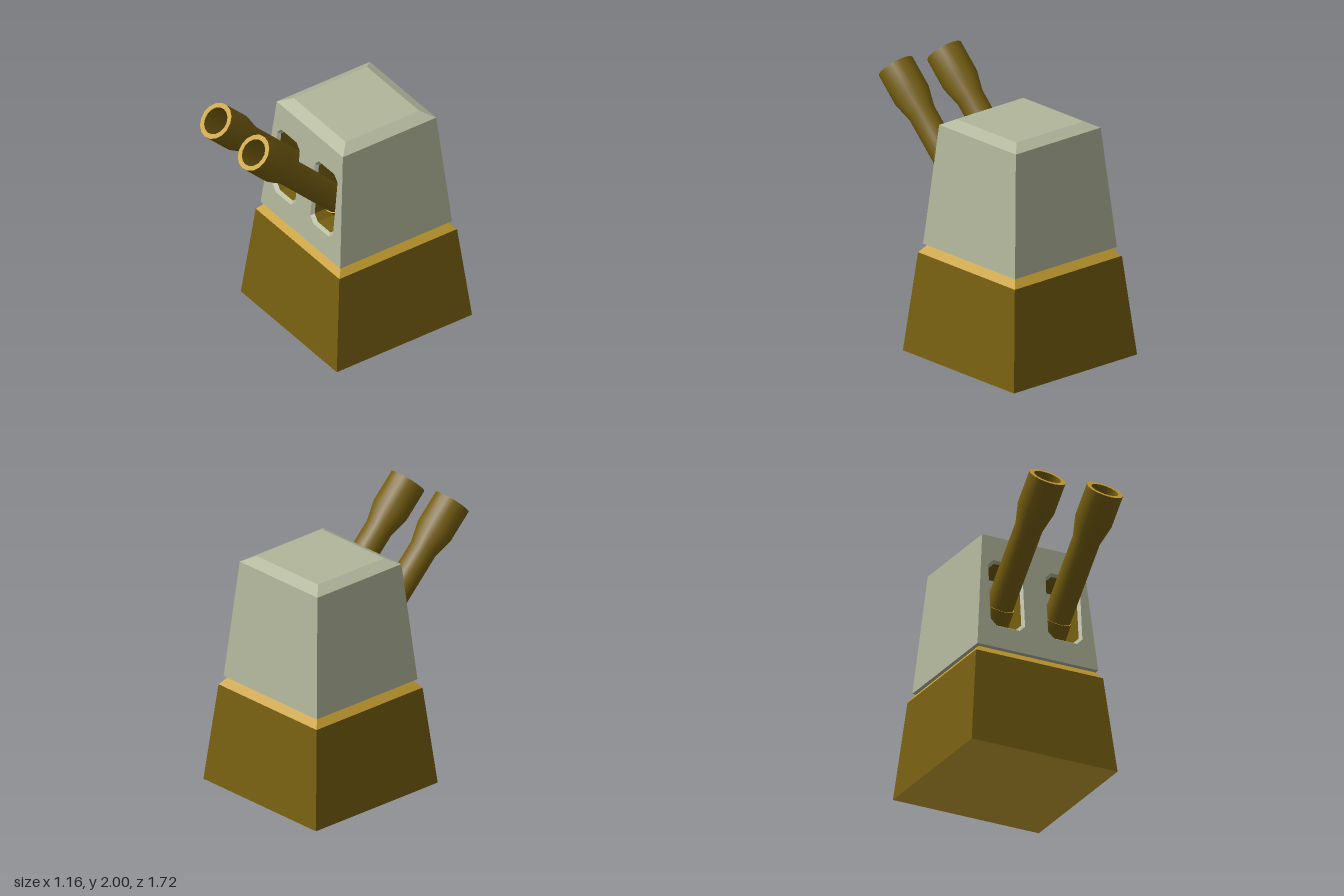
import * as THREE from 'three';
import { toCreasedNormals } from 'three/addons/utils/BufferGeometryUtils.js';

const mat = (name, color) => {
  const m = new THREE.MeshStandardMaterial({ color });
  m.name = name;
  return m;
};

// Flat-faced skin through rings of equal point count; skip leaves out one side
function loft(rings, { skip = -1, start = false, end = false } = {}) {
  const p = [];
  const tri = (...v) => v.forEach(q => p.push(q.x, q.y, q.z));
  for (let k = 0; k < rings.length - 1; k++) {
    const a = rings[k], b = rings[k + 1], n = a.length;
    for (let i = 0; i < n; i++) {
      if (i === skip) continue;
      const j = (i + 1) % n;
      tri(a[i], a[j], b[j]);
      tri(a[i], b[j], b[i]);
    }
  }
  const first = rings[0], last = rings[rings.length - 1];
  for (let i = 1; i < first.length - 1; i++) {
    if (start) tri(first[0], first[i + 1], first[i]);
    if (end) tri(last[0], last[i], last[i + 1]);
  }
  const g = new THREE.BufferGeometry();
  g.setAttribute('position', new THREE.Float32BufferAttribute(p, 3));
  g.computeVertexNormals();
  return g;
}

const CZ = -0.28; // depth of the tower's centre line
const square = (h, y) => [[h, h], [h, -h], [-h, -h], [-h, h]]
  .map(([x, z]) => new THREE.Vector3(x, y, z + CZ));

// Sloped front face of the housing
const frontZ = y => 0.2 - (y - 0.8) * 0.08 / 0.89;

// Eight-sided slot outline, counter-clockwise
function slotOutline(cx, inset) {
  const w = 0.137 - inset, y0 = 0.975 + inset, y1 = 1.5 - inset, c = 0.045;
  return [[w, y0 + c], [w, y1 - c], [w - c, y1], [c - w, y1],
    [-w, y1 - c], [-w, y0 + c], [c - w, y0], [w - c, y0]]
    .map(([x, y]) => new THREE.Vector2(cx + x, y));
}
const slotRing = (cx, inset, depth) => slotOutline(cx, inset)
  .map(q => new THREE.Vector3(q.x, q.y, frontZ(q.y) - depth));

const lathe = pts => toCreasedNormals(
  new THREE.LatheGeometry(pts.map(([r, s]) => new THREE.Vector2(r, s)), 16), 0.7);

export function createModel() {
  const model = new THREE.Group();
  const grey = mat('pale grey', 0xb2b69b);
  const brown = mat('dark bronze', 0x765f10);
  const gold = mat('gold', 0xc69e31);
  const add = (parent, name, geo, material) => {
    const m = new THREE.Mesh(geo, material);
    m.name = name;
    parent.add(m);
    return m;
  };

  // Pedestal
  add(model, 'pedestal', loft([square(0.58, 0), square(0.505, 0.735)]), brown);
  add(model, 'pedestalBevel', loft([square(0.505, 0.735), square(0.46, 0.79)], { end: true }), gold);
  add(model, 'pedestalUnderside', loft([square(0.58, 0)], { start: true }), gold);

  // Housing: three walls and underside, then the bevelled roof
  add(model, 'housingWalls', loft([square(0.48, 0.8), square(0.4, 1.69)], { skip: 3, start: true }), grey);
  add(model, 'housingRoof', loft([square(0.4, 1.69), square(0.315, 1.735)], { end: true }), grey);

  // Housing front with two slots, leaned back along the slope
  const guns = [-0.228, 0.228];
  const face = new THREE.Shape([[-0.48, 0.8], [0.48, 0.8], [0.4, 1.69], [-0.4, 1.69]]
    .map(([x, y]) => new THREE.Vector2(x, y)));
  guns.forEach(x => face.holes.push(new THREE.Path(slotOutline(x, 0).reverse())));
  const front = new THREE.ShapeGeometry(face);
  const pos = front.attributes.position;
  for (let i = 0; i < pos.count; i++) pos.setZ(i, frontZ(pos.getY(i)));
  front.computeVertexNormals();
  add(model, 'housingFront', front, grey);

  guns.forEach((x, i) => {
    const side = i ? 'left' : 'right';

    // Slot: chamfered rim, side walls and back
    add(model, side + 'SlotRim', loft([slotRing(x, 0, 0), slotRing(x, 0.016, 0.025)]), grey);
    add(model, side + 'SlotWalls', loft([slotRing(x, 0.016, 0.025), slotRing(x, 0.016, 0.28)]), brown);
    add(model, side + 'SlotBack', loft([slotRing(x, 0.016, 0.28)], { end: true }), grey);

    // Gun, turned about its own axis and tilted up 45 degrees
    const gun = new THREE.Group();
    gun.name = side + 'Gun';
    gun.position.set(x, 0.57, -0.57);
    gun.rotation.x = Math.PI / 4;
    model.add(gun);
    add(gun, 'sleeve', lathe([[0, 0.315], [0.12, 0.315], [0.108, 0.885]]), brown);
    add(gun, 'sleeveEdge', lathe([[0.108, 0.885], [0.095, 0.885]]), gold);
    add(gun, 'barrel', lathe([[0.1, 0.8], [0.1, 1.499], [0.135, 1.6475], [0.135, 1.888]]), brown);
    add(gun, 'muzzleRim', lathe([[0.135, 1.888], [0.1, 1.888]]), gold);
    add(gun, 'bore', lathe([[0.1, 1.888], [0.1, 1.638]]), brown);
    add(gun, 'boreFloor', lathe([[0.1, 1.638], [0, 1.638]]), gold);
  });

  return model;
}
